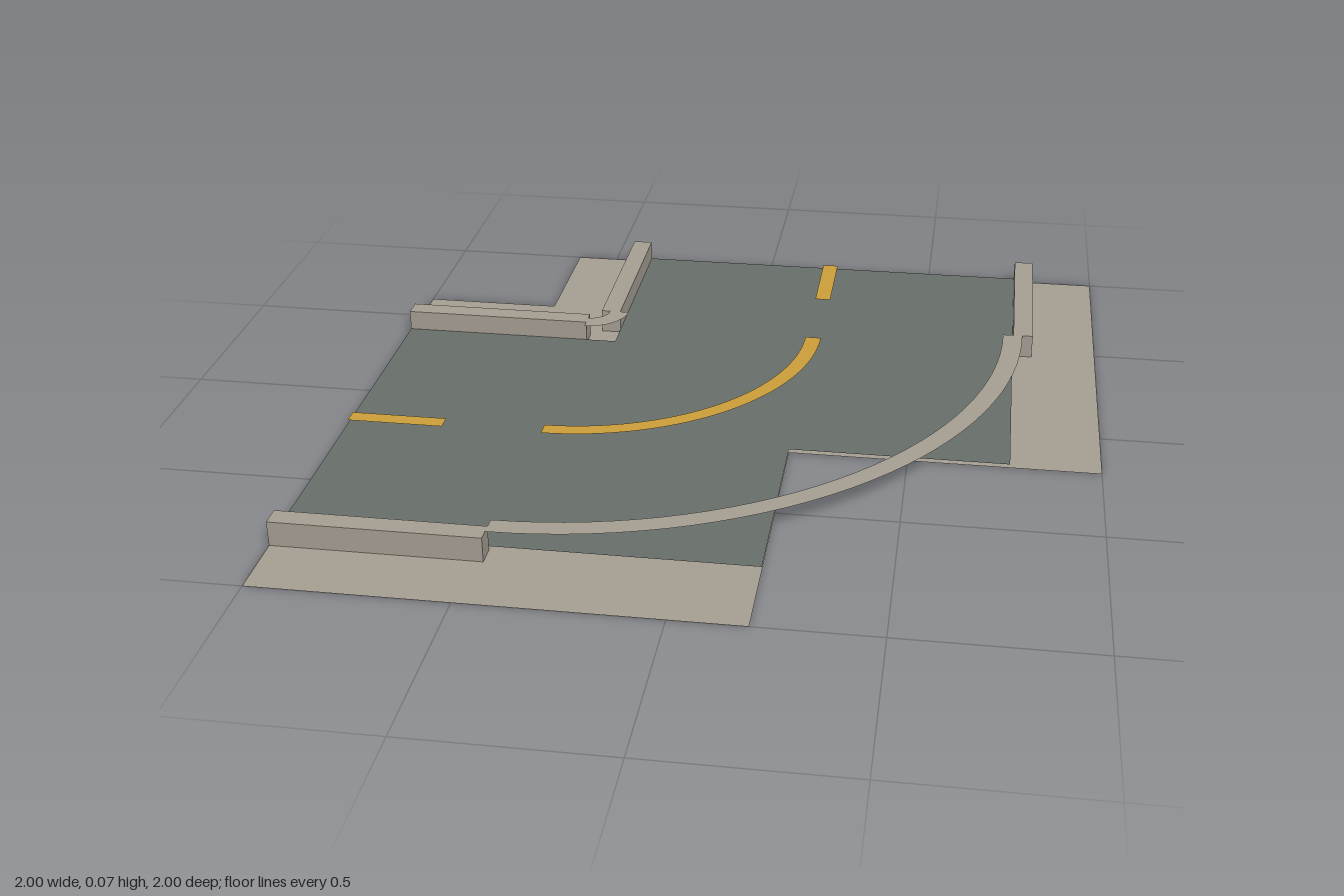
import * as THREE from 'three';

export function createModel() {
  const model = new THREE.Group();
  model.name = 'roadCorner';

  const mat = (name, color) => new THREE.MeshStandardMaterial({ name, color, side: THREE.DoubleSide });
  const concrete = mat('concrete', 0xa8a095);
  const asphalt = mat('asphalt', 0x69706a);
  const paint = mat('yellowPaint', 0xcfa03a);

  const add = (name, geometry, material) => {
    const mesh = new THREE.Mesh(geometry, material);
    mesh.name = name;
    model.add(mesh);
  };

  // Flat sheet at height y, outlined by [x, z] corners
  const sheet = (name, y, corners, material) => {
    const shape = new THREE.Shape(corners.map(([x, z]) => new THREE.Vector2(x, -z)));
    add(name, new THREE.ShapeGeometry(shape).rotateX(-Math.PI / 2).translate(0, y, 0), material);
  };

  // Two crossing strips joined: inner edge a, outer edge b, cut ends at c
  const elbow = (a, b, c) => [
    [-1, a], [-1, b], [c, b], [c, c], [b, c], [b, -1], [a, -1], [a, a],
  ];

  // Flat quarter ring around the turning point of the bend
  const PIVOT = -0.47;
  const quarterRing = (name, y, inner, outer, material) => {
    const ring = new THREE.RingGeometry(inner, outer, 32, 1, -Math.PI / 2, Math.PI / 2);
    add(name, ring.rotateX(-Math.PI / 2).translate(PIVOT, y, PIVOT), material);
  };

  // Ground layers
  sheet('sidewalk', 0, elbow(-0.62, 1, 0.19), concrete);
  sheet('road', 0.01, elbow(-0.385, 0.765, 0.19), asphalt);

  // Straight curbs and lane dashes, one along each arm
  const CURB_TOP = 0.066;
  const length = PIVOT + 1;
  const middle = (PIVOT - 1) / 2;
  for (const [name, p] of [['innerCurb', -0.4125], ['outerCurb', 0.7925]]) {
    add(name + 'Left', new THREE.BoxGeometry(0.055, CURB_TOP, length).translate(p, CURB_TOP / 2, middle), concrete);
    add(name + 'Right', new THREE.BoxGeometry(length, CURB_TOP, 0.055).translate(middle, CURB_TOP / 2, p), concrete);
  }
  sheet('laneDashBack', 0.02, [[0.167, -1], [0.167, -0.74], [0.212, -0.74], [0.212, -1]], paint);
  sheet('laneDashRight', 0.02, [[-1, 0.167], [-1, 0.212], [-0.74, 0.212], [-0.74, 0.167]], paint);

  // Curved pieces through the bend
  quarterRing('laneArc', 0.02, 0.635, 0.68, paint);
  quarterRing('innerCurbArc', CURB_TOP, 0.055, 0.11, concrete);
  quarterRing('outerCurbArc', CURB_TOP, 1.205, 1.26, concrete);

  return model;
}
